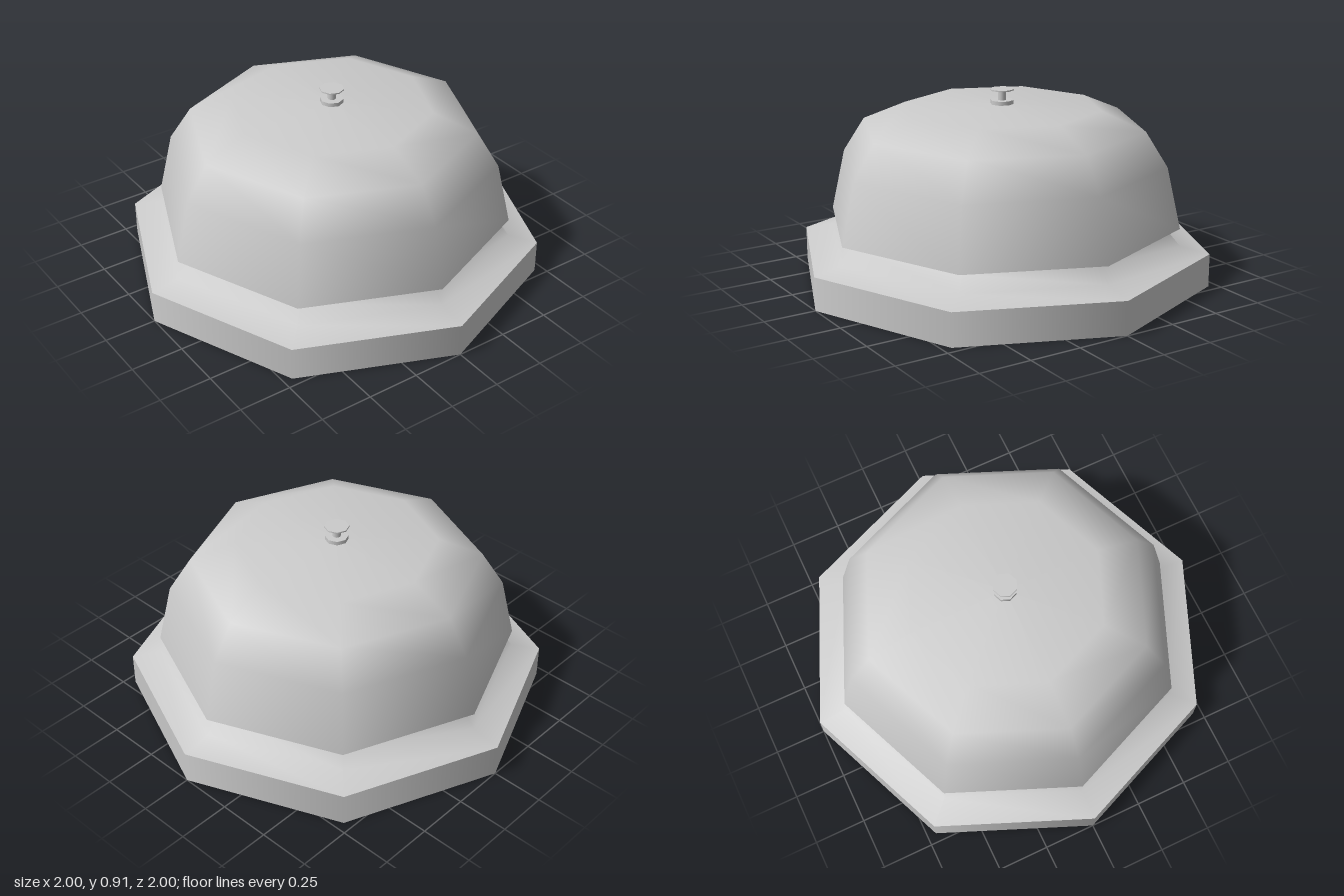
import * as THREE from 'three';

const SIDES = 8;
const metal = new THREE.MeshStandardMaterial({ color: 0xcccccc, side: THREE.DoubleSide });

// Eight-sided turned shell from [radius, height] pairs, smooth along its profile
function turned(name, profile) {
  const points = profile.map(([r, y]) => new THREE.Vector2(r, y));
  const mesh = new THREE.Mesh(new THREE.LatheGeometry(points, SIDES), metal);
  mesh.name = name;
  return mesh;
}

// Small upright disc or rod between two heights
function disc(name, radius, y0, y1) {
  const mesh = new THREE.Mesh(new THREE.CylinderGeometry(radius, radius, y1 - y0, SIDES), metal);
  mesh.position.y = (y0 + y1) / 2;
  mesh.name = name;
  return mesh;
}

export function createModel() {
  const model = new THREE.Group();
  model.name = 'deskBell';

  // Hollow base, open underneath: separate shells keep the rims sharp
  const base = new THREE.Group();
  base.name = 'base';
  base.add(
    turned('baseWall', [[1, 0], [1, 0.16]]),
    turned('baseShoulder', [[1, 0.16], [0.86, 0.19], [0.8, 0.26]])
  );

  // Hollow dome with a narrow lip resting on the base
  const bell = new THREE.Group();
  bell.name = 'bell';
  bell.add(
    turned('bellLip', [[0.8, 0.26], [0.857, 0.275]]),
    turned('bellDome', [[0.857, 0.275], [0.79, 0.57], [0.685, 0.735], [0.475, 0.825], [0, 0.84]])
  );

  // Push button: collar, stem and thin cap
  const button = new THREE.Group();
  button.name = 'button';
  button.add(
    disc('buttonCollar', 0.055, 0.835, 0.857),
    disc('buttonStem', 0.02, 0.857, 0.904),
    disc('buttonCap', 0.058, 0.904, 0.91)
  );

  model.add(base, bell, button);
  return model;
}
